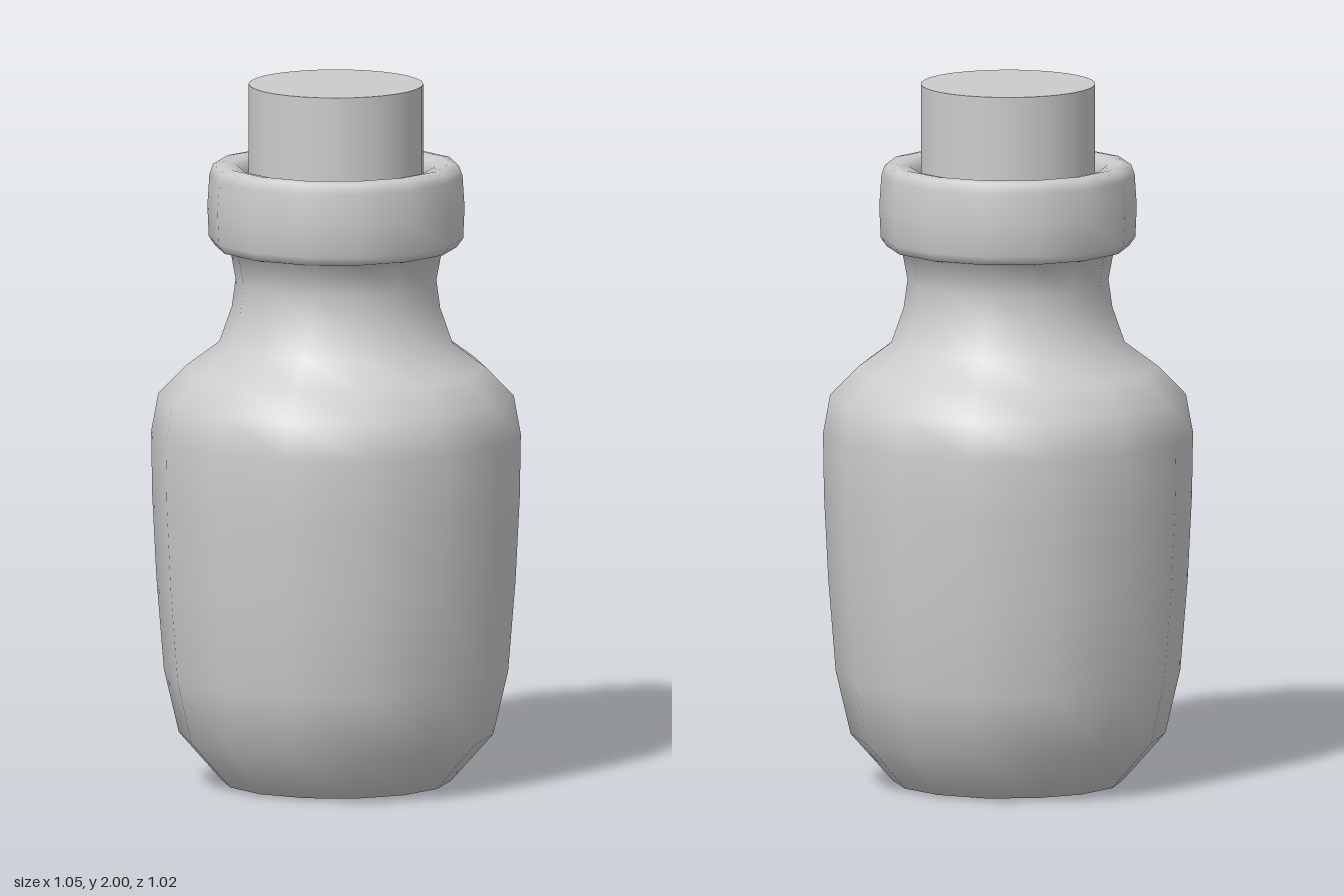
import * as THREE from 'three';

const SIDES = 14;

export function createModel() {
  const group = new THREE.Group();
  group.name = 'corkedBottle';
  const material = new THREE.MeshStandardMaterial({ color: 0xcccccc });

  // Bottle: base, belly, shoulder, neck, thick lip, then down inside the mouth
  const profile = [
    [0, 0], [0.2, 0], [0.325, 0.005], [0.445, 0.14], [0.487, 0.32],
    [0.508, 0.58], [0.52, 0.82], [0.523, 1.0], [0.503, 1.11], [0.425, 1.19],
    [0.33, 1.26], [0.295, 1.36], [0.284, 1.44], [0.3, 1.525],
    [0.342, 1.535], [0.36, 1.56], [0.364, 1.65], [0.358, 1.74], [0.348, 1.768],
    [0.32, 1.773], [0.28, 1.765], [0.264, 1.73], [0.262, 1.55], [0.26, 1.45],
  ].map(([r, y]) => new THREE.Vector2(r, y));
  const bottle = new THREE.Mesh(
    new THREE.LatheGeometry(profile, SIDES, Math.PI / 2), material);
  bottle.name = 'bottle';
  group.add(bottle);

  // Cork: plain cylinder sitting in the mouth
  const corkBottom = 1.45, corkTop = 2;
  const cork = new THREE.Mesh(
    new THREE.CylinderGeometry(0.247, 0.247, corkTop - corkBottom, 32), material);
  cork.position.y = (corkTop + corkBottom) / 2;
  cork.name = 'cork';
  group.add(cork);

  return group;
}
